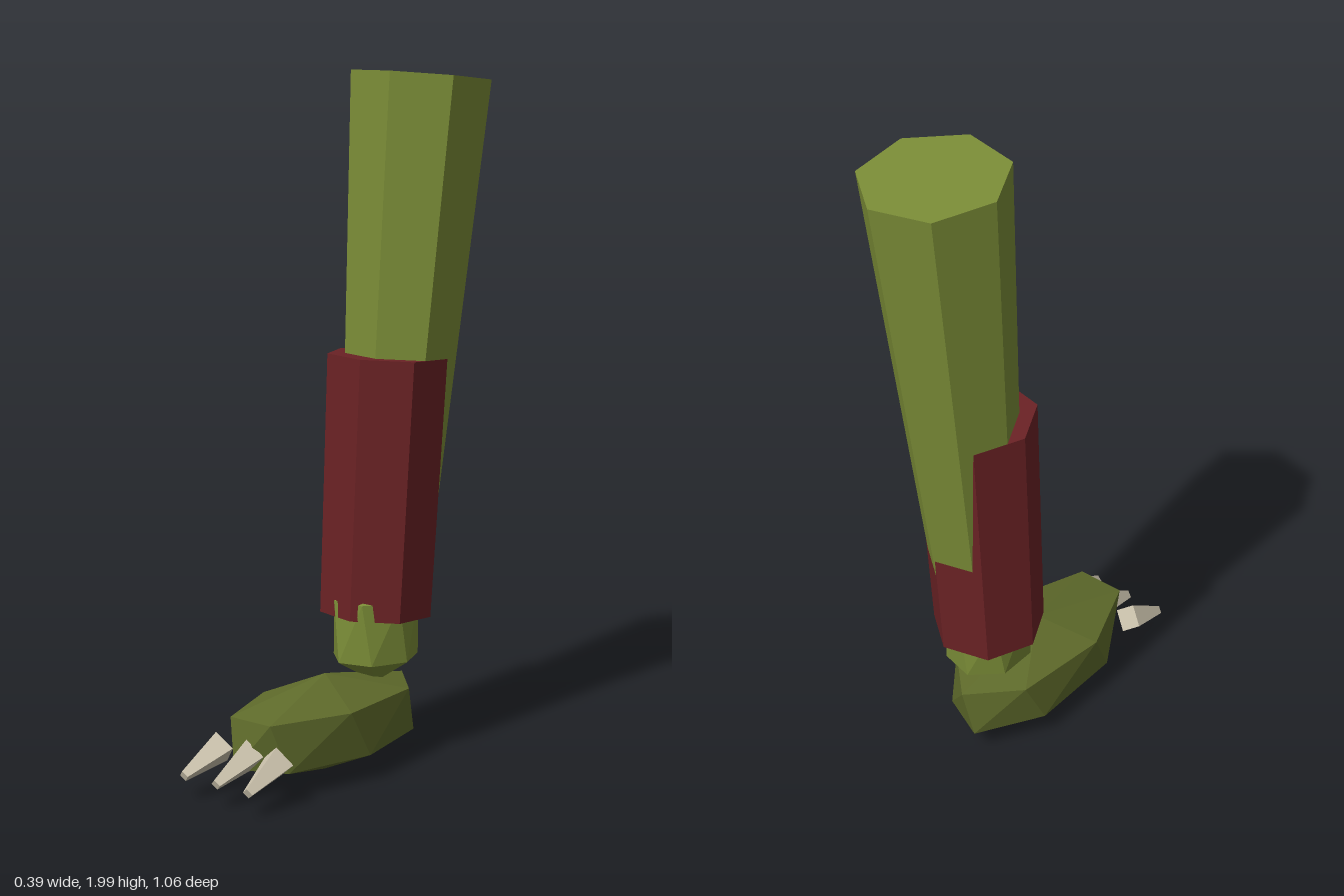
import * as THREE from 'three';

const mat = (name, color) => new THREE.MeshStandardMaterial({ name, color, flatShading: true });

// Tapered prism from bottom point a to top point b, with one corner on the -x side
function limb(name, a, b, rBottom, rTop, sides, material) {
  const from = new THREE.Vector3(...a), to = new THREE.Vector3(...b);
  const axis = to.clone().sub(from);
  const geo = new THREE.CylinderGeometry(rTop, rBottom, axis.length(), sides, 1, false, -Math.PI / 2);
  const mesh = new THREE.Mesh(geo, material);
  mesh.name = name;
  mesh.quaternion.setFromUnitVectors(new THREE.Vector3(0, 1, 0), axis.normalize());
  mesh.position.copy(from).add(to).multiplyScalar(0.5);
  return mesh;
}

// Seven-sided pebble: two rings, the lower one slightly twisted, closed by a pole at each end
function pebble(name, [cx, cz], [rx, rz], [y0, y1, y2, y3], material) {
  const n = 7, step = (Math.PI * 2) / n;
  const ring = (y, offset) => (k) => {
    const a = step * (k + offset);
    return [cx + rx * Math.sin(a), y, cz + rz * Math.cos(a)];
  };
  const low = ring(y1, 0.75), high = ring(y2, 0.5);
  const bottom = [cx, y0, cz], top = [cx, y3, cz];
  const pos = [];
  for (let k = 0; k < n; k++) {
    pos.push(...top, ...high(k), ...high(k + 1));
    pos.push(...high(k), ...low(k), ...high(k + 1));
    pos.push(...high(k + 1), ...low(k), ...low(k + 1));
    pos.push(...bottom, ...low(k + 1), ...low(k));
  }
  const geo = new THREE.BufferGeometry();
  geo.setAttribute('position', new THREE.Float32BufferAttribute(pos, 3));
  geo.computeVertexNormals();
  const mesh = new THREE.Mesh(geo, material);
  mesh.name = name;
  return mesh;
}

export function createModel() {
  const skin = mat('olive skin', 0x7b8d37);
  const footSkin = mat('dark olive skin', 0x5f6b2b);
  const cloth = mat('dark red wrap', 0x6b2225);
  const horn = mat('bone claw', 0xcdc4ae);

  const group = new THREE.Group();
  group.name = 'clawedLeg';

  // Leg leaning back, with a straighter shin wrap that it leaves at the rear
  group.add(limb('leg', [-0.013, 0.46, -0.187], [0.009, 1.98, -0.33], 0.127, 0.206, 7, skin));
  group.add(limb('shinWrap', [-0.025, 0.425, -0.17], [-0.013, 1.183, -0.208], 0.165, 0.177, 7, cloth));

  // Ankle and foot
  group.add(pebble('ankle', [-0.008, -0.148], [0.12, 0.137], [0.22, 0.3, 0.48, 0.56], skin));
  group.add(pebble('foot', [-0.02, 0.065], [0.17, 0.355], [0.005, 0.08, 0.22, 0.29], footSkin));

  // Three claws pointing forward and down
  const claws = new THREE.Group();
  claws.name = 'claws';
  for (const [baseX, tipX] of [[-0.13, -0.142], [-0.02, -0.022], [0.085, 0.096]]) {
    claws.add(limb('claw', [baseX, 0.127, 0.383], [tipX, 0.072, 0.525], 0.048, 0.016, 4, horn));
  }
  group.add(claws);
  return group;
}
